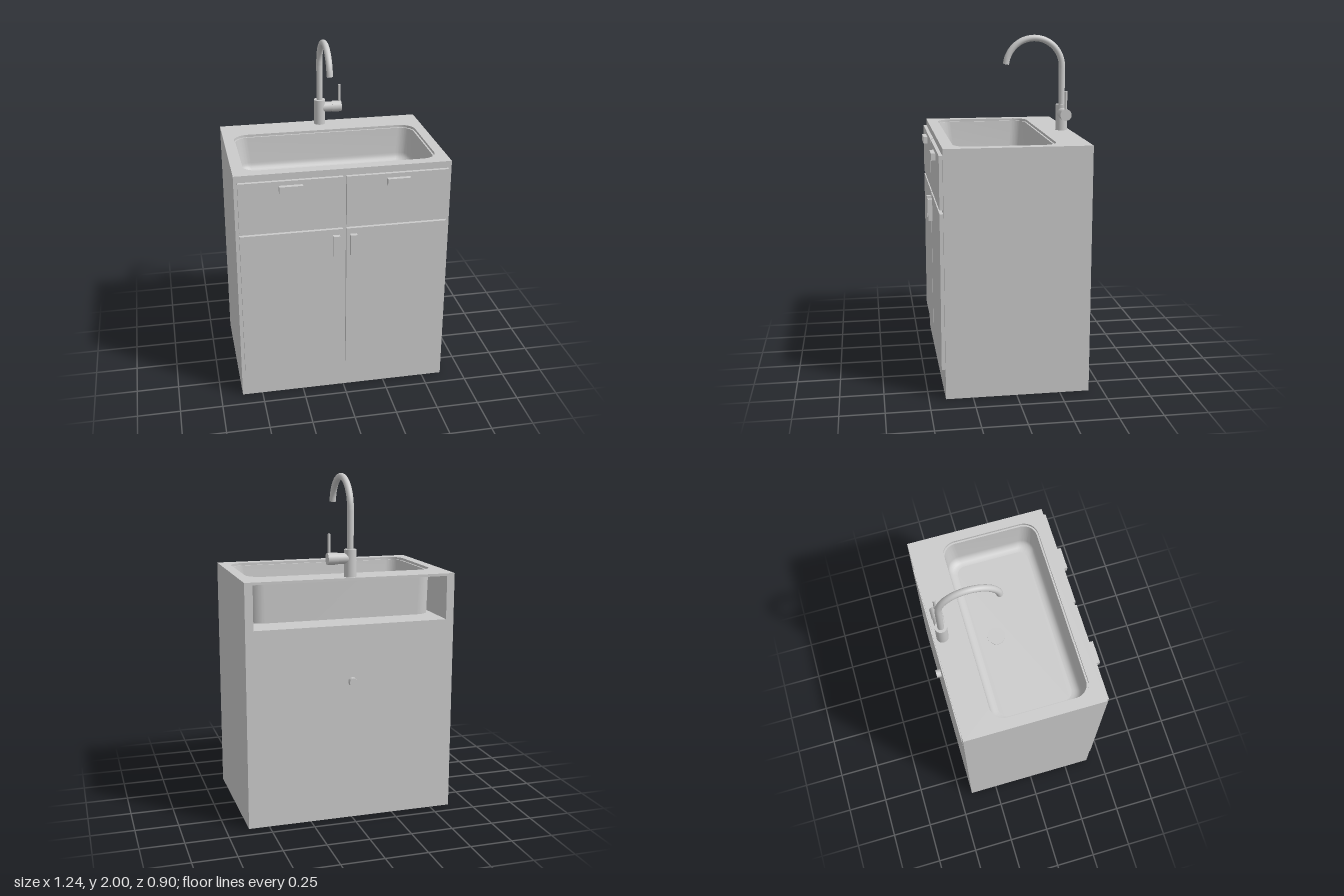
import * as THREE from 'three';
import { toCreasedNormals } from 'three/addons/utils/BufferGeometryUtils.js';

const material = new THREE.MeshStandardMaterial({ color: 0xcccccc });
const thin = new THREE.MeshStandardMaterial({ color: 0xcccccc, side: THREE.DoubleSide });
const TOP = 1.43, SLAB = 0.015, SHELF = 1.16, BACK = -0.42, FRONT = 0.405;
const BOWL_Z = 0.05, FLOOR = 1.205;

// Rounded rectangle in plan (shape y becomes -z)
function roundedRect(hx, hz, r, path = new THREE.Shape()) {
  const corners = [[1, -1, -90], [1, 1, 0], [-1, 1, 90], [-1, -1, 180]];
  for (const [sx, sy, deg] of corners) {
    const a = THREE.MathUtils.degToRad(deg);
    path.absarc(sx * (hx - r), sy * (hz - r) - BOWL_Z, r, a, a + Math.PI / 2, false);
  }
  return path;
}

// Skin through a stack of rounded rectangles [halfX, halfZ, radius, y]
function loft(rings) {
  const pos = [], idx = [];
  let n = 0;
  rings.forEach(([hx, hz, r, y]) => {
    const pts = roundedRect(hx, hz, r).getPoints(10);
    n = pts.length;
    pts.forEach(p => pos.push(p.x, y, -p.y));
  });
  for (let i = 0; i < rings.length - 1; i++) {
    for (let j = 0; j < n; j++) {
      const a = i * n + j, b = i * n + (j + 1) % n;
      idx.push(a, b, a + n, b, b + n, a + n);
    }
  }
  const g = new THREE.BufferGeometry();
  g.setAttribute('position', new THREE.Float32BufferAttribute(pos, 3));
  g.setIndex(idx);
  return toCreasedNormals(g, 0.6);
}

export function createModel() {
  const root = new THREE.Group();
  root.name = 'sinkCabinet';

  function add(parent, name, geometry, mat = material) {
    const mesh = new THREE.Mesh(geometry, mat);
    mesh.name = name;
    parent.add(mesh);
    return mesh;
  }
  // Box given by its limits
  function box(parent, name, x0, x1, y0, y1, z0, z1) {
    const m = add(parent, name, new THREE.BoxGeometry(x1 - x0, y1 - y0, z1 - z0));
    m.position.set((x0 + x1) / 2, (y0 + y1) / 2, (z0 + z1) / 2);
    return m;
  }
  function group(name) {
    const g = new THREE.Group();
    g.name = name;
    root.add(g);
    return g;
  }

  // Carcass, open at the upper back
  const cabinet = group('cabinet');
  box(cabinet, 'cabinetBody', -0.62, 0.62, 0, SHELF, BACK, FRONT);
  box(cabinet, 'upperFrontPanel', -0.573, 0.573, SHELF, TOP - SLAB, 0.36, FRONT);
  for (const s of [-1, 1]) {
    const x = [s * 0.573, s * 0.62].sort((a, b) => a - b);
    box(cabinet, 'upperSidePanel', x[0], x[1], SHELF, TOP - SLAB, BACK, FRONT);
  }

  // Worktop with the basin opening
  const top = new THREE.Shape([[-0.62, -FRONT], [0.62, -FRONT], [0.62, -BACK], [-0.62, -BACK]]
    .map(p => new THREE.Vector2(...p)));
  top.holes.push(roundedRect(0.56, 0.29, 0.09, new THREE.Path()));
  const slab = add(cabinet, 'worktop',
    new THREE.ExtrudeGeometry(top, { depth: SLAB, bevelEnabled: false, curveSegments: 10 }).rotateX(-Math.PI / 2));
  slab.position.y = TOP - SLAB;

  // Basin: recessed ledge, tapered wall, filleted floor
  const basin = group('basin');
  const rings = [[0.56, 0.29, 0.09, TOP - SLAB], [0.55, 0.28, 0.08, TOP - SLAB]];
  const fillet = 0.05;
  for (let i = 0; i <= 6; i++) {
    const a = (i / 6) * Math.PI / 2, inset = 0.01 + fillet * (1 - Math.cos(a));
    rings.push([0.55 - inset, 0.28 - inset, 0.09 - inset * 0.6, FLOOR + fillet * (1 - Math.sin(a))]);
  }
  add(basin, 'basinWall', loft(rings), thin);
  const [fx, fz, fr] = rings[rings.length - 1];
  add(basin, 'basinFloor', new THREE.ShapeGeometry(roundedRect(fx, fz, fr), 10).rotateX(-Math.PI / 2), thin)
    .position.y = FLOOR;
  add(basin, 'basinOuterWall',
    loft([[0.56, 0.29, 0.09, TOP - SLAB], [0.555, 0.285, 0.09, SHELF]]), thin);
  add(basin, 'drain', new THREE.CylinderGeometry(0.052, 0.052, 0.006, 32))
    .position.set(0, FLOOR + 0.001, -0.055);

  // Drawer fronts, doors and their pulls, mirrored
  for (const s of [-1, 1]) {
    const fronts = group(s > 0 ? 'leftFronts' : 'rightFronts');
    const panel = (name, a, b, y0, y1, z0, z1) =>
      box(fronts, name, Math.min(s * a, s * b), Math.max(s * a, s * b), y0, y1, z0, z1);
    panel('drawerFront', 0.01, 0.6, 1.09, 1.39, FRONT, 0.425);
    panel('door', 0.01, 0.6, 0.17, 1.07, FRONT, 0.425);
    panel('drawerHandle', 0.24, 0.373, 1.325, 1.365, 0.425, 0.45);
    panel('doorHandle', 0.03, 0.07, 0.905, 1.035, 0.425, 0.45);
  }

  // Faucet with gooseneck spout and side lever
  const faucet = group('faucet');
  faucet.position.set(0, TOP, -0.37);
  add(faucet, 'faucetBase', new THREE.CylinderGeometry(0.035, 0.035, 0.155, 32)).position.y = 0.0775;

  const neck = new THREE.CurvePath();
  const bend = [];
  for (let i = 0; i <= 16; i++) {
    const a = Math.PI - (i / 16) * THREE.MathUtils.degToRad(174);
    bend.push(new THREE.Vector3(0, 0.38 + 0.17 * Math.sin(a), 0.17 + 0.17 * Math.cos(a)));
  }
  neck.add(new THREE.LineCurve3(new THREE.Vector3(0, 0.13, 0), bend[0]));
  neck.add(new THREE.CatmullRomCurve3(bend));
  add(faucet, 'spout', new THREE.TubeGeometry(neck, 64, 0.019, 20), thin);
  const mouth = add(faucet, 'spoutMouth', new THREE.CircleGeometry(0.019, 20), thin);
  mouth.position.copy(bend[16]);
  mouth.rotation.x = Math.PI / 2 - THREE.MathUtils.degToRad(6);

  const valve = add(faucet, 'valveNeck', new THREE.CylinderGeometry(0.031, 0.031, 0.08, 32));
  valve.rotation.z = -Math.PI / 2;
  valve.position.set(0.04, 0.105, 0);
  const knob = add(faucet, 'valveKnob', new THREE.CylinderGeometry(0.034, 0.034, 0.06, 32));
  knob.rotation.z = -Math.PI / 2;
  knob.position.set(0.106, 0.105, 0);
  add(faucet, 'lever', new THREE.CylinderGeometry(0.008, 0.008, 0.12, 16)).position.set(0.125, 0.185, 0);

  // Pipe outlet on the back
  const outlet = add(root, 'backOutlet', new THREE.CylinderGeometry(0.025, 0.025, 0.04, 24));
  outlet.rotation.x = Math.PI / 2;
  outlet.position.set(0, 0.83, BACK - 0.01);

  return root;
}
